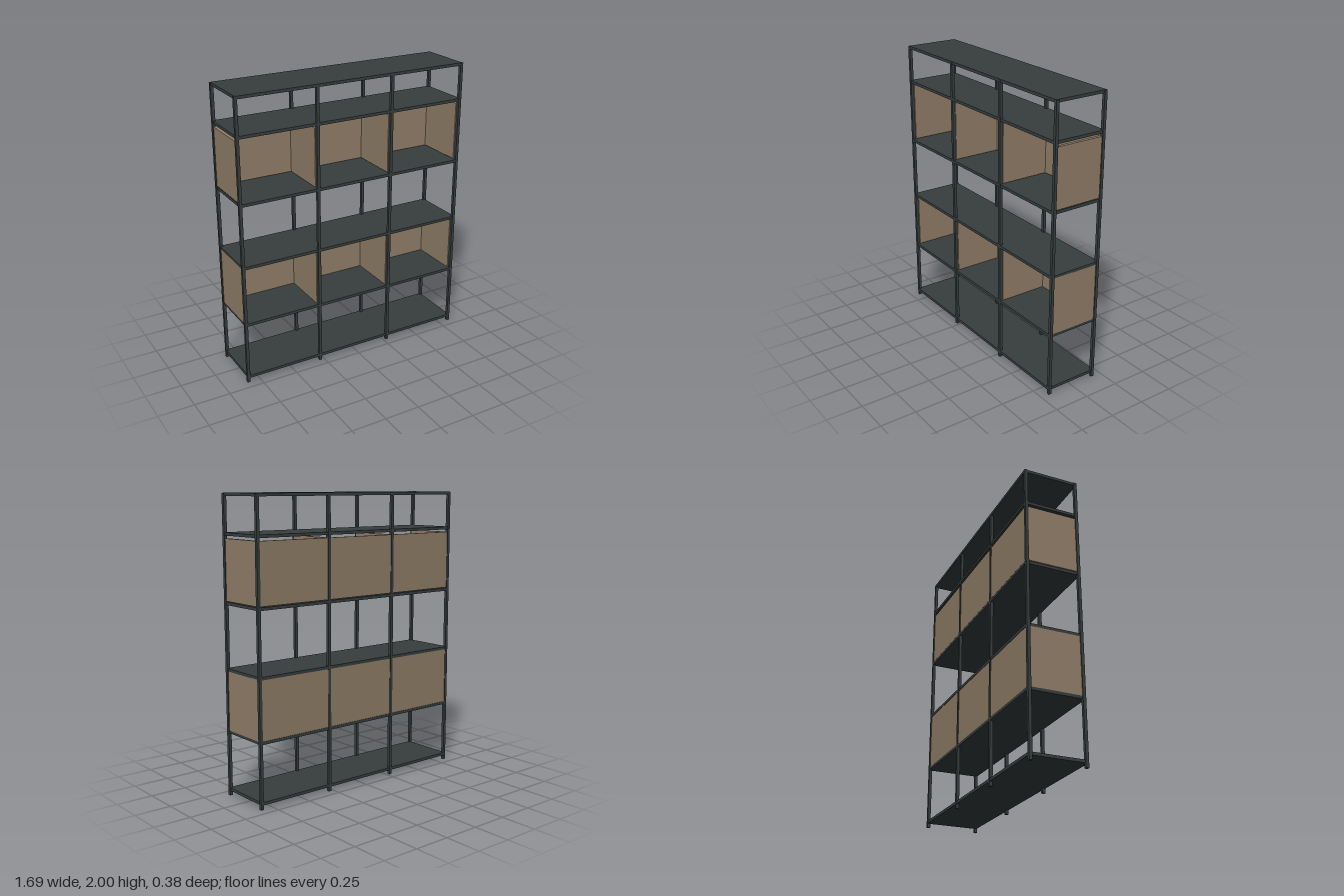
import * as THREE from 'three';

export function createModel() {
  const model = new THREE.Group();
  model.name = 'shelvingUnit';

  const darkMetal = new THREE.MeshStandardMaterial({ color: 0x373e3e });
  darkMetal.name = 'dark metal';
  const brownPanel = new THREE.MeshStandardMaterial({ color: 0x927f69 });
  brownPanel.name = 'brown panel';

  function box(name, material, w, h, d, x, y, z) {
    const mesh = new THREE.Mesh(new THREE.BoxGeometry(w, h, d), material);
    mesh.name = name;
    mesh.position.set(x, y, z);
    model.add(mesh);
  }

  const postXs = [-0.833, -0.278, 0.278, 0.833];
  const postSize = 0.021;
  const postZ = 0.182;

  // Upright posts, four along the front and four along the back
  for (const x of postXs) {
    for (const z of [-postZ, postZ]) {
      box('post', darkMetal, postSize, 1.998, postSize, x, 0.999, z);
    }
  }

  // Full-width shelves
  for (const y of [0.04, 0.44, 0.857, 1.294, 1.74, 1.99]) {
    box('shelf', darkMetal, 1.674, 0.02, 0.382, 0, y, 0);
  }

  // Two rows of open-fronted compartments
  const rows = [{ bottom: 0.448, top: 0.85 }, { bottom: 1.309, top: 1.712 }];
  for (const { bottom, top } of rows) {
    const h = top - bottom;
    const y = (top + bottom) / 2;

    // End panels
    for (const side of [-1, 1]) {
      box('endPanel', brownPanel, 0.022, h, 0.344, side * 0.826, y, 0);
    }
    // Dividers between bays
    for (const x of postXs.slice(1, 3)) {
      box('divider', brownPanel, 0.032, h, 0.344, x, y, 0);
    }
    // One back panel per bay, between the posts
    for (let i = 0; i < 3; i++) {
      const width = postXs[i + 1] - postXs[i] - postSize;
      const x = (postXs[i] + postXs[i + 1]) / 2;
      box('backPanel', brownPanel, width, h, 0.016, x, y, -0.18);
    }
  }

  return model;
}
